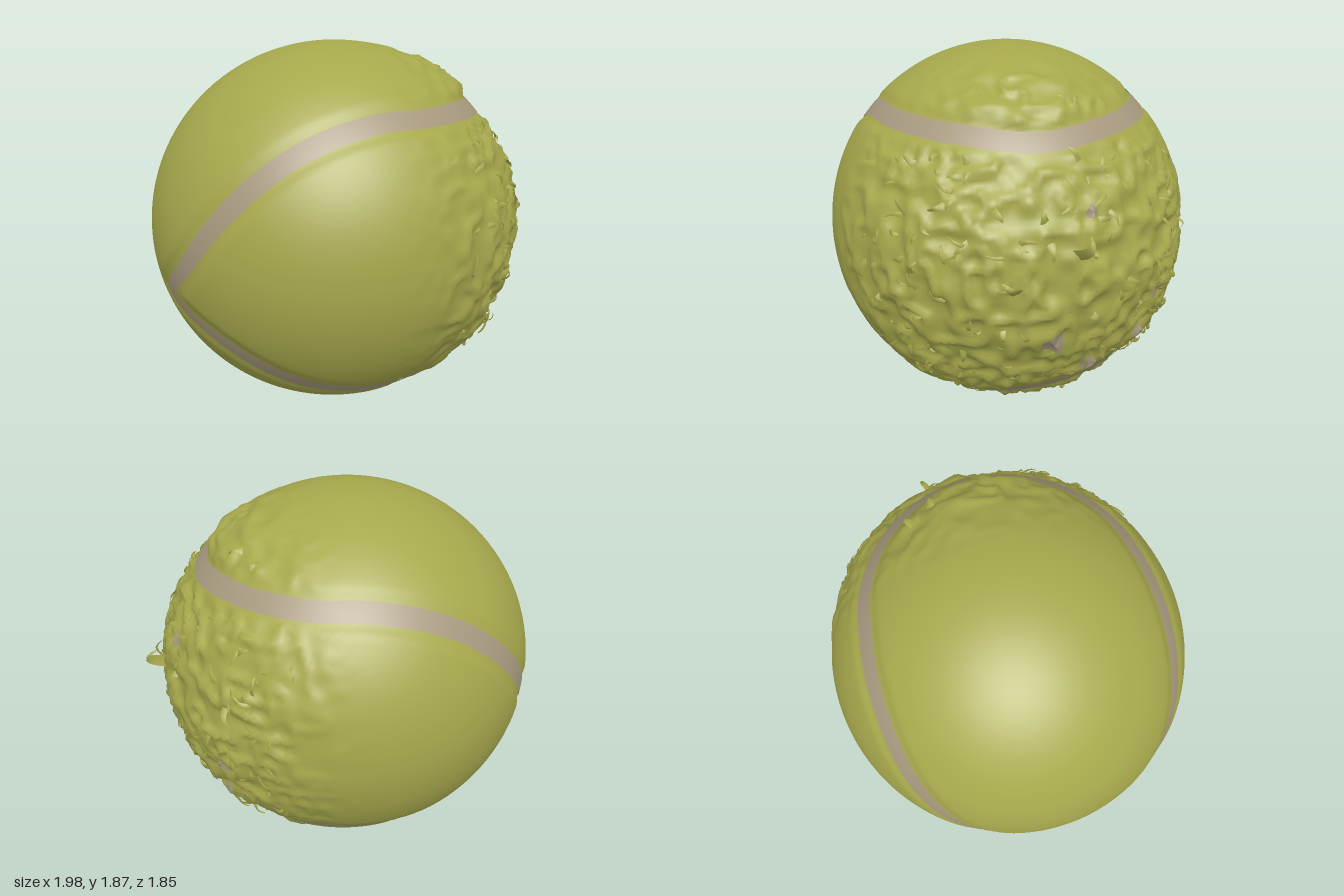
import * as THREE from 'three';
import { mergeVertices, mergeGeometries } from 'three/addons/utils/BufferGeometryUtils.js';

const V = (x, y, z) => new THREE.Vector3(x, y, z);
const CENTER = V(-0.05, 0.935, 0);
const RADII = V(0.94, 0.923, 0.912);
const smooth = (a, b, x) => THREE.MathUtils.smoothstep(x, a, b);

let seed = 7;
const rnd = () => {
  seed = (seed * 16807) % 2147483647;
  return seed / 2147483647;
};

// Smooth value noise in 3D, 0..1
const hash = (x, y, z) => {
  const s = Math.sin(x * 127.1 + y * 311.7 + z * 74.7) * 43758.5453;
  return s - Math.floor(s);
};
function noise(x, y, z) {
  const i = Math.floor(x), j = Math.floor(y), k = Math.floor(z);
  const f = (t) => t * t * (3 - 2 * t);
  const u = f(x - i), v = f(y - j), w = f(z - k);
  let sum = 0;
  for (let c = 0; c < 8; c++) {
    const a = c & 1, b = (c >> 1) & 1, d = c >> 2;
    sum += hash(i + a, j + b, k + d) * (a ? u : 1 - u) * (b ? v : 1 - v) * (d ? w : 1 - w);
  }
  return sum;
}

// Two seam curves on the unit sphere, both running from the front tip to the back tip
const curve = (pts) => new THREE.CatmullRomCurve3(pts.map((p) => V(...p).normalize()), false, 'centripetal');
const upperHalf = [
  [-0.92, -0.23, 0.29], [-0.84, 0, 0.54], [-0.68, 0.26, 0.68], [-0.47, 0.47, 0.74],
  [-0.26, 0.6, 0.75], [0.05, 0.69, 0.72], [0.32, 0.69, 0.64], [0.58, 0.67, 0.41],
];
const upperSeam = curve([
  ...upperHalf, [0.76, 0.66, 0], ...upperHalf.slice().reverse().map(([x, y, z]) => [x, y, -z]),
]);
const lowerSeam = curve([
  [-0.92, -0.23, 0.29], [-0.68, -0.42, 0.6], [-0.26, -0.66, 0.7], [0.05, -0.74, 0.67],
  [0.37, -0.79, 0.5], [0.56, -0.77, 0.27], [0.71, -0.7, 0], [0.67, -0.62, -0.4],
  [0.38, -0.6, -0.7], [0, -0.63, -0.77], [-0.3, -0.65, -0.7], [-0.69, -0.48, -0.53], [-0.92, -0.23, -0.29],
]);
const seamSamples = [upperSeam, lowerSeam].flatMap((c) => c.getSpacedPoints(150).map((p) => p.normalize()));

function seamDistance(dir) {
  let best = 9;
  for (const p of seamSamples) best = Math.min(best, p.distanceToSquared(dir));
  return Math.sqrt(best);
}

// Point on the ball: felt swells beside the seam and is crumpled on the worn +x side
function skin(dir, lift = 0) {
  const d = seamDistance(dir);
  const puff = smooth(0.055, 0.12, d);
  const worn = smooth(0.1, 0.75, dir.x) * puff;
  const n = noise(dir.x * 7 + 9, dir.y * 7 + 9, dir.z * 7 + 9);
  const ridge = 1 - Math.abs(2 * noise(dir.x * 12 + 31, dir.y * 12 + 5, dir.z * 12 + 17) - 1);
  const flap = Math.exp(-dir.distanceToSquared(V(0.58, 0.81, 0)) / 0.07) * smooth(0.055, 0.085, d) * (dir.y > 0.66 ? 1 : 0);
  const h = 0.012 * puff + worn * (0.03 * (n - 0.5) + 0.04 * (ridge * ridge - 0.5)) + 0.022 * flap + lift;
  return dir.clone().multiplyScalar(1 + h).multiply(RADII).add(CENTER);
}

// Felt body
function feltGeometry() {
  let g = new THREE.IcosahedronGeometry(1, 46);
  g.deleteAttribute('uv');
  g.deleteAttribute('normal');
  g = mergeVertices(g, 1e-4);
  const pos = g.attributes.position;
  const p = V(0, 0, 0);
  for (let i = 0; i < pos.count; i++) {
    const q = skin(p.fromBufferAttribute(pos, i).normalize());
    pos.setXYZ(i, q.x, q.y, q.z);
  }
  g.computeVertexNormals();
  return g;
}

// Grid surface from rows of points
function loft(rows) {
  const cols = rows[0].length, index = [];
  for (let i = 0; i < rows.length - 1; i++) {
    for (let j = 0; j < cols - 1; j++) {
      const a = i * cols + j, b = a + cols;
      index.push(a, b, a + 1, b, b + 1, a + 1);
    }
  }
  const g = new THREE.BufferGeometry().setFromPoints(rows.flat());
  g.setIndex(index);
  g.computeVertexNormals();
  return g;
}

// Rubber strip lying along a seam curve, slightly slimmer at the pointed ends
function seamGeometry(c) {
  const rows = [];
  for (let i = 0; i <= 180; i++) {
    const u = i / 180;
    const p = c.getPointAt(u).normalize();
    const side = c.getTangentAt(u).cross(p).normalize();
    const w = 0.038 + 0.016 * smooth(0, 0.15, Math.min(u, 1 - u));
    rows.push([1, 0.5, 0, -0.5, -1].map((k) => skin(p.clone().addScaledVector(side, k * w).normalize(), 0.005)));
  }
  return loft(rows);
}

// Bald spot where the felt is worn through
function spotGeometry(y, z, r) {
  const dir = V(Math.sqrt(Math.max(0, 1 - y * y - z * z)), y, z).normalize();
  const s = V(0, 1, 0).cross(dir).normalize(), t = dir.clone().cross(s);
  const rows = [0, 0.33, 0.66, 1].map((k) => Array.from({ length: 17 }, (_, j) => {
    const a = (j / 16) * Math.PI * 2;
    const rr = r * k * (1 + 0.15 * Math.sin(a * 3 + y * 9));
    return skin(dir.clone().addScaledVector(s, Math.cos(a) * rr).addScaledVector(t, Math.sin(a) * rr).normalize(), 0.004);
  }));
  return loft(rows);
}

// Torn scrap of felt curling off the surface
function tuftGeometry(dir, length, height, width) {
  const base = skin(dir, -0.004);
  const t = V(rnd() - 0.5, rnd() - 0.5, rnd() - 0.5).cross(dir).normalize();
  const s = t.clone().cross(dir);
  const bend = (rnd() - 0.5) * length, twist = (rnd() - 0.5) * 2;
  const rows = [];
  for (let i = 0; i <= 5; i++) {
    const u = i / 5;
    const c = base.clone().addScaledVector(t, length * u).addScaledVector(s, bend * u * u)
      .addScaledVector(dir, height * Math.sin(u * 2.5));
    const across = s.clone().addScaledVector(dir, twist * u).normalize();
    const w = width * (1 - 0.75 * u);
    rows.push([-1, 0, 1].map((k) => c.clone().addScaledVector(across, k * w).addScaledVector(dir, k ? 0 : w * 0.4)));
  }
  return loft(rows);
}

export function createModel() {
  const felt = new THREE.MeshStandardMaterial({ color: 0xa6a84c });
  const scrap = felt.clone();
  scrap.side = THREE.DoubleSide;
  const rubber = new THREE.MeshStandardMaterial({ color: 0xa7997f, side: THREE.DoubleSide });
  felt.name = 'felt';
  scrap.name = 'looseFelt';
  rubber.name = 'rubber';

  const group = new THREE.Group();
  group.name = 'wornBall';
  const add = (name, geometry, material) => {
    const m = new THREE.Mesh(geometry, material);
    m.name = name;
    group.add(m);
  };

  add('feltBody', feltGeometry(), felt);
  add('upperSeam', seamGeometry(upperSeam), rubber);
  add('lowerSeam', seamGeometry(lowerSeam), rubber);

  // Bald spots: height, depth and radius on the unit sphere
  const spots = [
    [-0.28, -0.03, 0.06], [0.36, -0.21, 0.032], [-0.16, -0.62, 0.035],
    [-0.39, -0.54, 0.035], [-0.41, -0.72, 0.035], [-0.5, -0.25, 0.045],
  ];
  add('baldSpots', mergeGeometries(spots.map((s) => spotGeometry(...s))), rubber);

  // Small scraps scattered over the worn side
  const tufts = [];
  while (tufts.length < 150) {
    const dir = V(rnd(), rnd() * 1.5 - 0.8, rnd() * 1.9 - 0.95).normalize();
    if (dir.x < 0.35 + 0.35 * rnd() || seamDistance(dir) < 0.11) continue;
    tufts.push(tuftGeometry(dir, 0.03 + 0.06 * rnd(), 0.008 + 0.02 * rnd(), 0.008 + 0.016 * rnd()));
  }
  // Large curls
  tufts.push(tuftGeometry(V(0.97, 0.18, -0.12).normalize(), 0.09, 0.095, 0.03));
  tufts.push(tuftGeometry(V(0.98, 0.02, 0.15).normalize(), 0.09, 0.06, 0.03));
  tufts.push(tuftGeometry(V(0.82, -0.5, -0.25).normalize(), 0.1, 0.035, 0.03));
  add('feltScraps', mergeGeometries(tufts), scrap);
  return group;
}
